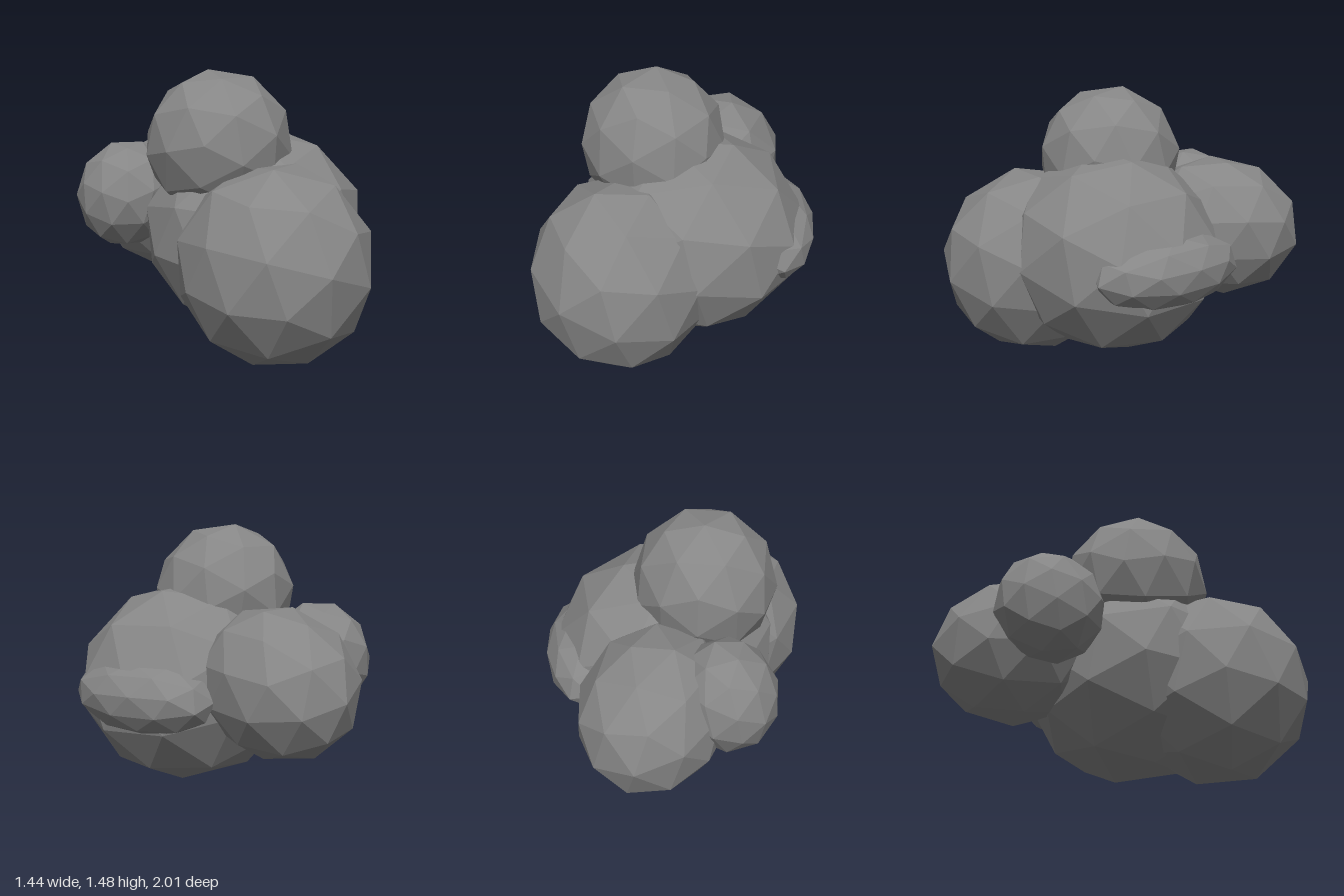
import * as THREE from 'three';

const material = new THREE.MeshStandardMaterial({ color: 0x868686, flatShading: true });

// Faceted ball, facets turned, fitted to the given radii, then tilted as a whole
function blob(name, center, radii, turn, tilt = [0, 0, 0]) {
  const geometry = new THREE.IcosahedronGeometry(1, 1);
  geometry.rotateX(turn[0]).rotateY(turn[1]).rotateZ(turn[2]);
  geometry.computeBoundingBox();
  const { max } = geometry.boundingBox;
  geometry.scale(radii[0] / max.x, radii[1] / max.y, radii[2] / max.z);
  geometry.computeVertexNormals();
  const mesh = new THREE.Mesh(geometry, material);
  mesh.name = name;
  mesh.position.set(...center);
  mesh.rotation.set(...tilt);
  return mesh;
}

export function createModel() {
  const group = new THREE.Group();
  group.name = 'lobedCluster';

  group.add(
    // Large overlapping lobes
    blob('mainLobe', [0.045, 0.6, 0.12], [0.605, 0.55, 0.575], [0.1, 0.25, 0.2]),
    blob('frontLobe', [-0.235, 0.51, 0.49], [0.475, 0.51, 0.51], [0.15, 0.2, 0.25]),
    blob('topLobe', [-0.175, 1.08, 0.055], [0.395, 0.395, 0.395], [-0.2, 0, 0]),
    // Back lobes, leaning slightly
    blob('backLobe', [0.025, 0.675, -0.535], [0.385, 0.38, 0.47], [0.2, 0.1, 0.25], [-0.2, -0.2, 0]),
    blob('smallBackLobe', [-0.35, 0.77, -0.5], [0.26, 0.3, 0.28], [0.2, 0.3, 0.1], [0, 0, -0.3]),
    // Flattened lobe half sunk into the side
    blob('flatSideLobe', [0.495, 0.595, -0.01], [0.215, 0.2, 0.43], [0.1, 0.15, 0.2], [0, 0.2, 0])
  );

  return group;
}
